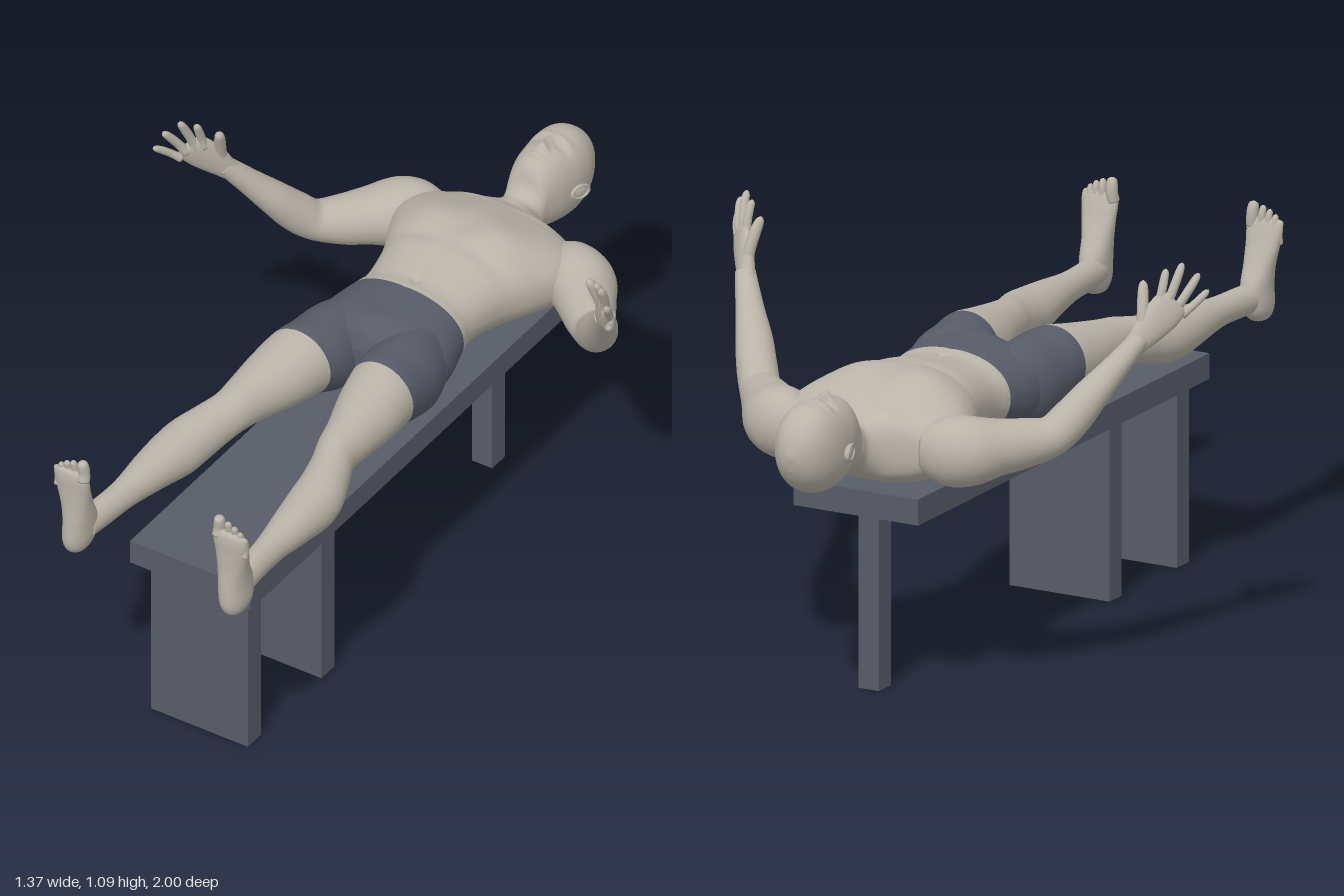
import * as THREE from 'three';

const V = (x, y, z) => new THREE.Vector3(x, y, z);
const skin = new THREE.MeshStandardMaterial({ color: 0xbab4a8 });
skin.name = 'skin';
const slate = new THREE.MeshStandardMaterial({ color: 0x585c68 });
slate.name = 'slate';

// Smooth interpolation of section rows.
const spline = (p0, p1, p2, p3, t) => p1.map((b, i) => {
  const a = p0[i], c = p2[i], d = p3[i];
  return b + 0.5 * t * (c - a + t * (2 * a - 5 * b + 4 * c - d + t * (3 * (b - c) + d - a)));
});

// Closed tube through sections [x, y, z, halfWidth along ref, halfDepth].
// axis fixes the section plane; split is the section where the second material starts.
function loft(sections, ref, { axis = null, seg = 32, steps = 6, split = 0, power = 2 } = {}) {
  const rows = [], last = sections.length - 1, at = i => sections[Math.min(last, Math.max(0, i))];
  for (let i = 0; i < last; i++)
    for (let k = 0; k < steps; k++) rows.push(spline(at(i - 1), at(i), at(i + 1), at(i + 2), k / steps));
  rows.push(sections[last]);
  const pos = [], idx = [], mid = rows.map(r => V(r[0], r[1], r[2]));
  const n = rows.length, e = 2 / power;
  rows.forEach((r, i) => {
    const t = axis ? axis.clone() : mid[Math.min(i + 1, n - 1)].clone().sub(mid[Math.max(i - 1, 0)]).normalize();
    const u = ref.clone().addScaledVector(t, -ref.dot(t)).normalize(), v = t.clone().cross(u);
    for (let j = 0; j < seg; j++) {
      const c = Math.cos(j / seg * Math.PI * 2), s = Math.sin(j / seg * Math.PI * 2);
      const p = mid[i].clone()
        .addScaledVector(u, Math.max(r[3], 0.001) * Math.sign(c) * Math.abs(c) ** e)
        .addScaledVector(v, Math.max(r[4], 0.001) * Math.sign(s) * Math.abs(s) ** e);
      pos.push(p.x, p.y, p.z);
    }
  });
  pos.push(...mid[0].toArray(), ...mid[n - 1].toArray());
  for (let j = 0; j < seg; j++) idx.push(n * seg, (j + 1) % seg, j);
  let cut = 0;
  for (let i = 0; i < n - 1; i++) {
    if (split && i === split * steps) cut = idx.length;
    for (let j = 0; j < seg; j++) {
      const a = i * seg + j, b = i * seg + (j + 1) % seg;
      idx.push(a, b, a + seg, b, b + seg, a + seg);
    }
  }
  for (let j = 0; j < seg; j++) idx.push(n * seg + 1, (n - 1) * seg + j, (n - 1) * seg + (j + 1) % seg);
  const g = new THREE.BufferGeometry();
  g.setAttribute('position', new THREE.Float32BufferAttribute(pos, 3));
  g.setIndex(idx);
  if (split) {
    g.addGroup(0, cut, 0);
    g.addGroup(cut, idx.length - cut, 1);
  }
  g.computeVertexNormals();
  return g;
}

// Mirror a geometry across x = 0.
function mirrored(geo) {
  const g = geo.clone().scale(-1, 1, 1), a = g.index.array;
  for (let i = 0; i < a.length; i += 3) [a[i], a[i + 1]] = [a[i + 1], a[i]];
  g.computeVertexNormals();
  return g;
}

// Raise or sink the upper surface with soft bumps [x, z, radiusX, radiusZ, amount], on both sides.
function sculpt(g, bumps) {
  const p = g.attributes.position;
  for (let i = 0; i < p.count; i++) {
    const x = Math.abs(p.getX(i)), y = p.getY(i), z = p.getZ(i);
    const w = THREE.MathUtils.smoothstep(y, 0.69, 0.76);
    let d = 0;
    for (const [bx, bz, rx, rz, h] of bumps) d += h * Math.exp(-(((x - bx) / rx) ** 2) - ((z - bz) / rz) ** 2);
    p.setY(i, y + d * w);
  }
  g.computeVertexNormals();
}

// Rounded finger or toe from a to b.
function digit(a, b, r, bend) {
  const s = [[0, 1], [0.35, 0.92], [0.7, 0.88], [0.92, 0.68], [1, 0.1]].map(([t, k]) => {
    const p = a.clone().lerp(b, t).addScaledVector(bend, Math.sin(t * Math.PI));
    return [p.x, p.y, p.z, r * k, r * k];
  });
  return loft(s, V(1, 0, 0.3), { seg: 14, steps: 4 });
}

export function createModel() {
  const model = new THREE.Group();
  const add = (name, geo, mat, parent = model) => {
    const m = new THREE.Mesh(geo, mat);
    m.name = name;
    parent.add(m);
  };
  const pair = (name, geo, mat) => {
    add(name + 'Left', geo, mat);
    add(name + 'Right', mirrored(geo), mat);
  };

  // Bench: slab, two panel legs and one post
  const bench = new THREE.Group();
  bench.name = 'bench';
  model.add(bench);
  for (const [name, w, y0, y1, z0, z1] of [
    ['benchTop', 0.36, 0.473, 0.541, -0.665, 0.797],
    ['footPanel', 0.29, 0, 0.473, 0.695, 0.755],
    ['middlePanel', 0.29, 0, 0.473, 0.358, 0.418],
    ['headPost', 0.06, 0, 0.473, -0.6, -0.54]]) {
    add(name, new THREE.BoxGeometry(w, y1 - y0, z1 - z0).translate(0, (y0 + y1) / 2, (z0 + z1) / 2), slate, bench);
  }

  // Head, neck, torso and pelvis: [z, low y, high y, half width]
  const body = [
    [-1, 0.705, 0.72, 0.008], [-0.99, 0.67, 0.76, 0.035], [-0.965, 0.632, 0.797, 0.061],
    [-0.925, 0.603, 0.822, 0.079], [-0.88, 0.592, 0.828, 0.085], [-0.84, 0.594, 0.824, 0.083],
    [-0.8, 0.602, 0.82, 0.077], [-0.77, 0.61, 0.812, 0.068], [-0.747, 0.612, 0.792, 0.061],
    [-0.73, 0.612, 0.752, 0.06], [-0.705, 0.602, 0.736, 0.066], [-0.68, 0.585, 0.74, 0.105],
    [-0.65, 0.568, 0.75, 0.205], [-0.6, 0.553, 0.772, 0.262], [-0.53, 0.55, 0.796, 0.258],
    [-0.45, 0.555, 0.805, 0.225], [-0.37, 0.565, 0.803, 0.188], [-0.29, 0.578, 0.79, 0.168],
    [-0.235, 0.58, 0.782, 0.164], [-0.19, 0.57, 0.786, 0.174], [-0.11, 0.547, 0.788, 0.192],
    [-0.05, 0.55, 0.785, 0.188], [0, 0.565, 0.765, 0.125], [0.025, 0.61, 0.72, 0.045]]
    .map(([z, lo, hi, w]) => [0, (lo + hi) / 2, z, w, (hi - lo) / 2]);
  const torso = loft(body, V(1, 0, 0), { axis: V(0, 0, 1), seg: 96, steps: 7, split: 19, power: 2.2 });
  sculpt(torso, [
    [0, -0.838, 0.009, 0.024, 0.011], [0, -0.815, 0.013, 0.012, 0.016], [0.014, -0.813, 0.008, 0.008, 0.005], // nose
    [0.032, -0.853, 0.017, 0.011, -0.012], [0.032, -0.853, 0.01, 0.006, 0.006], [0.03, -0.873, 0.024, 0.008, 0.004], // eyes, brow
    [0, -0.79, 0.02, 0.005, 0.005], [0, -0.776, 0.017, 0.005, 0.005], [0, -0.752, 0.02, 0.012, 0.006], // lips, chin
    [0.1, -0.645, 0.07, 0.01, 0.005], [0, -0.675, 0.02, 0.015, -0.006], // collarbones
    [0.1, -0.475, 0.075, 0.06, 0.013], [0, -0.47, 0.014, 0.08, -0.006], // chest
    [0.1, -0.39, 0.08, 0.02, -0.006], [0, -0.3, 0.01, 0.1, -0.004], [0, -0.235, 0.009, 0.009, -0.009], // belly
    [0, -0.02, 0.035, 0.05, 0.012]]);
  add('headAndTorso', torso, [skin, slate]);

  // Ears: flat shell with a raised rim
  const shell = new THREE.SphereGeometry(1, 16, 12).scale(0.009, 0.019, 0.03);
  const rim = new THREE.TorusGeometry(0.02, 0.005, 8, 24).rotateY(Math.PI / 2).scale(1, 0.85, 1.35).translate(0.005, 0, 0);
  for (const [name, g] of [['ear', shell], ['earRim', rim]])
    pair(name, g.rotateY(-0.25).rotateX(-0.2).translate(0.087, 0.7, -0.852), skin);

  // Legs, with shorts down to the middle of the thigh
  pair('leg', loft([
    [0.1, 0.665, -0.13, 0.075, 0.095], [0.112, 0.664, -0.04, 0.095, 0.114], [0.113, 0.675, 0.04, 0.101, 0.108],
    [0.124, 0.69, 0.11, 0.095, 0.096], [0.136, 0.688, 0.2, 0.086, 0.082], [0.15, 0.687, 0.3, 0.066, 0.067],
    [0.158, 0.685, 0.37, 0.056, 0.06], [0.178, 0.672, 0.43, 0.059, 0.062], [0.197, 0.66, 0.5, 0.066, 0.066],
    [0.204, 0.655, 0.56, 0.066, 0.064], [0.21, 0.658, 0.65, 0.055, 0.053], [0.215, 0.66, 0.77, 0.038, 0.04],
    [0.222, 0.66, 0.87, 0.035, 0.039], [0.23, 0.66, 0.94, 0.036, 0.038]],
    V(1, 0, 0), { axis: V(0, 0, 1), seg: 48, split: 3 }), [slate, skin]);

  // Feet, pointing up, heel to ball
  pair('foot', loft([
    [0.236, 0.596, 0.952, 0.006, 0.01], [0.236, 0.604, 0.952, 0.024, 0.033], [0.235, 0.635, 0.947, 0.036, 0.052],
    [0.233, 0.69, 0.946, 0.038, 0.052], [0.234, 0.74, 0.956, 0.041, 0.038], [0.237, 0.79, 0.967, 0.047, 0.026],
    [0.238, 0.83, 0.975, 0.051, 0.019], [0.238, 0.852, 0.978, 0.046, 0.013], [0.238, 0.86, 0.979, 0.03, 0.006]],
    V(1, 0, 0), { axis: V(0, 1, 0), power: 2.2 }), skin);
  for (const [i, [x, top, r]] of [[0.205, 0.896, 0.017], [0.232, 0.889, 0.011], [0.251, 0.881, 0.0105],
    [0.268, 0.87, 0.01], [0.282, 0.856, 0.01]].entries())
    pair('toe' + (i + 1), digit(V(x - 0.003, top - 0.06, 0.977), V(x, top, 0.981), r, V(0, 0, -0.006)), skin);

  // Arms, bent upward at the elbow
  pair('arm', loft([
    [0.17, 0.66, -0.62, 0.06, 0.045], [0.225, 0.66, -0.605, 0.088, 0.073], [0.275, 0.66, -0.575, 0.09, 0.088],
    [0.325, 0.663, -0.52, 0.073, 0.077], [0.37, 0.666, -0.468, 0.064, 0.066], [0.42, 0.678, -0.415, 0.052, 0.054],
    [0.453, 0.717, -0.375, 0.051, 0.052], [0.485, 0.77, -0.333, 0.044, 0.048], [0.525, 0.833, -0.285, 0.034, 0.037],
    [0.56, 0.89, -0.242, 0.027, 0.029], [0.572, 0.91, -0.226, 0.024, 0.026]], V(0, 1, 0)), skin);

  // Hands: palm, four spread fingers and thumb
  pair('palm', loft([
    [0.55, 0.872, -0.255, 0.026, 0.022], [0.567, 0.9, -0.231, 0.031, 0.022], [0.588, 0.935, -0.203, 0.042, 0.021],
    [0.61, 0.968, -0.175, 0.046, 0.018], [0.623, 0.99, -0.158, 0.042, 0.014], [0.628, 0.998, -0.152, 0.03, 0.006]],
    V(0.65, -0.4, 0.5), { seg: 24 }), skin);
  for (const [name, a, b, r] of [
    ['indexFinger', V(0.596, 0.985, -0.178), V(0.598, 1.073, -0.145), 0.0125],
    ['middleFinger', V(0.612, 0.985, -0.165), V(0.63, 1.086, -0.117), 0.013],
    ['ringFinger', V(0.629, 0.972, -0.15), V(0.663, 1.057, -0.092), 0.0125],
    ['littleFinger', V(0.64, 0.955, -0.14), V(0.681, 1.012, -0.075), 0.011],
    ['thumb', V(0.573, 0.92, -0.222), V(0.552, 1.045, -0.18), 0.0165]])
    pair(name, digit(a, b, r, V(0.003, 0, -0.005)), skin);

  return model;
}
